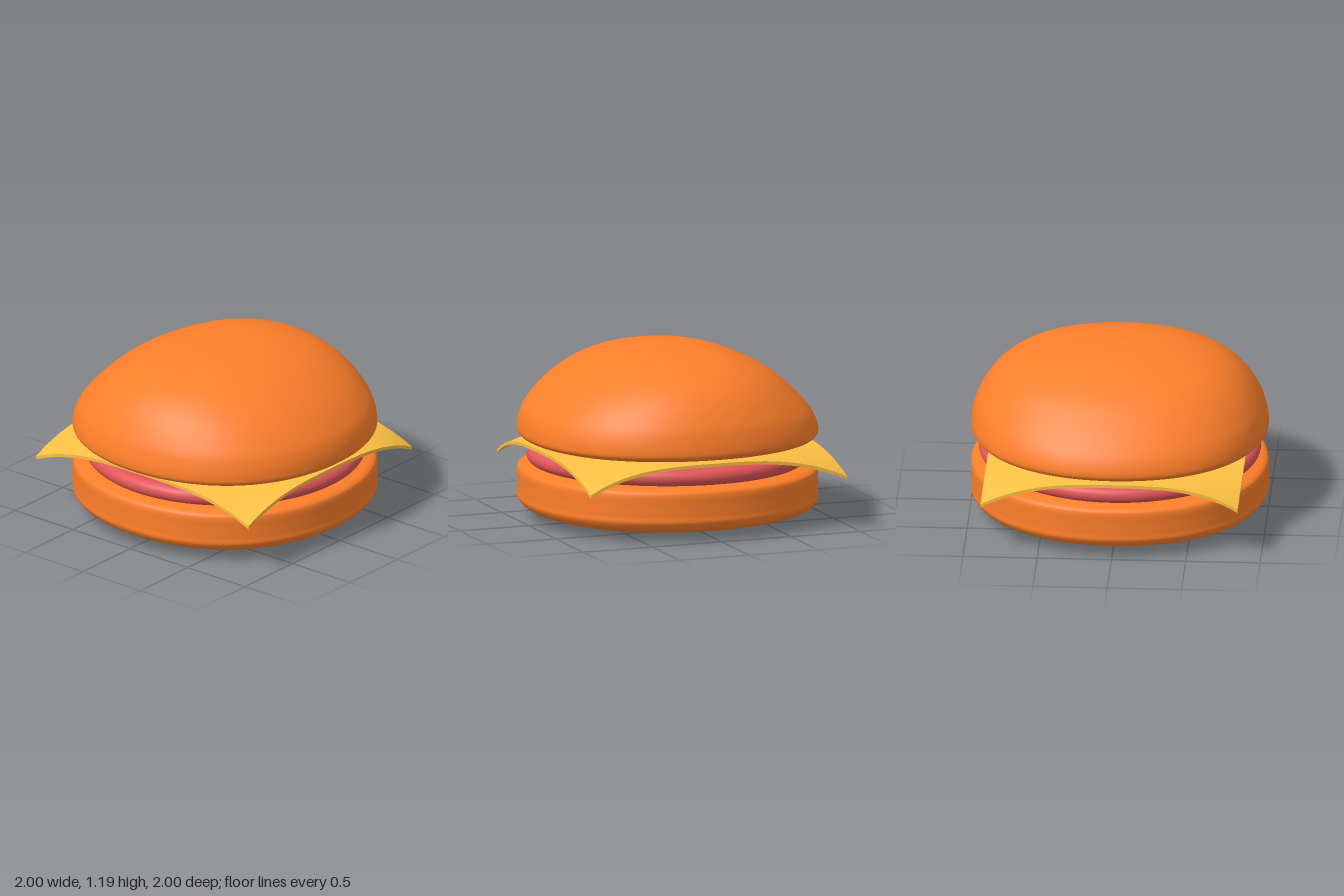
import * as THREE from 'three';

const SEGMENTS = 96;
const STEPS = 8;

// Closed round body; each row is [height, radius in z, radius to -x, radius to +x]
function roundBody(rows, squareness = 0) {
  const profiles = [1, 2, 3].map(k => new THREE.SplineCurve(rows.map(r => new THREE.Vector2(r[k], r[0]))));
  const levels = (rows.length - 1) * STEPS;
  const positions = [], index = [];
  for (let i = 0; i <= levels; i++) {
    const [side, left, right] = profiles.map(p => p.getPoint(i / levels));
    for (let j = 0; j < SEGMENTS; j++) {
      const a = j / SEGMENTS * Math.PI * 2;
      const bulge = 1 + squareness * Math.sin(2 * a) ** 2;
      const rx = Math.cos(a) < 0 ? left.x : right.x;
      positions.push(Math.cos(a) * rx * bulge, side.y, Math.sin(a) * side.x * bulge);
      if (i === levels) continue;
      const p = i * SEGMENTS + j, q = i * SEGMENTS + (j + 1) % SEGMENTS;
      index.push(p, p + SEGMENTS, q, q, p + SEGMENTS, q + SEGMENTS);
    }
  }
  const geometry = new THREE.BufferGeometry();
  geometry.setAttribute('position', new THREE.Float32BufferAttribute(positions, 3));
  geometry.setIndex(index);
  geometry.computeVertexNormals();
  return geometry;
}

const evenRows = rows => rows.map(([y, r]) => [y, r, r, r]);

// Thin square slice with drooping corners
function cheeseSlice() {
  const geometry = new THREE.BoxGeometry(2, 0.022, 2, 40, 1, 40);
  const pos = geometry.attributes.position;
  for (let i = 0; i < pos.count; i++) {
    const u = pos.getX(i), v = pos.getZ(i);
    const corner = Math.abs(u * v) ** 3;
    const droop = 0.012 * (u ** 4 + v ** 4) + 0.138 * corner;
    pos.setXYZ(i, 0.925 * u - 0.025 * corner, pos.getY(i) + 0.511 - droop, 0.865 * v - 0.02 * corner);
  }
  geometry.computeVertexNormals();
  return geometry;
}

export function createModel() {
  const model = new THREE.Group();
  const add = (name, geometry, color) => {
    const mesh = new THREE.Mesh(geometry, new THREE.MeshStandardMaterial({ color }));
    mesh.name = name;
    model.add(mesh);
  };
  const bun = 0xff7f2a;

  // Flat lower bun with a rounded rim
  add('bottomBun', roundBody(evenRows([
    [0, 0], [0.006, 0.3], [0.02, 0.62], [0.045, 0.83], [0.08, 0.95], [0.13, 0.998], [0.18, 1],
    [0.25, 1], [0.32, 1], [0.35, 0.985], [0.367, 0.94], [0.375, 0.86], [0.375, 0.5], [0.375, 0],
  ]), 0.024), bun);

  // Patty with a half-round edge
  const patty = [[0.372, 0], [0.372, 0.45], [0.372, 0.8]];
  for (let k = 0; k <= 8; k++) {
    const a = (k / 8 - 0.5) * Math.PI;
    patty.push([0.429 + 0.055 * Math.sin(a), 0.893 + 0.055 * Math.cos(a)]);
  }
  patty.push([0.486, 0.8], [0.486, 0.45], [0.486, 0]);
  add('patty', roundBody(evenRows(patty)), 0xe25558);

  add('cheese', cheeseSlice(), 0xfcc044);

  // Domed upper bun, sloping more gently towards -x
  add('topBun', roundBody([
    [0.52, 0, 0, 0], [0.522, 0.45, 0.45, 0.45], [0.533, 0.8, 0.8, 0.8], [0.55, 0.945, 0.945, 0.945],
    [0.575, 0.993, 0.993, 0.993], [0.62, 1, 1, 1], [0.7, 0.985, 0.97, 0.985], [0.78, 0.957, 0.91, 0.945],
    [0.9, 0.885, 0.79, 0.84], [1.0, 0.79, 0.665, 0.71], [1.08, 0.66, 0.515, 0.57],
    [1.14, 0.475, 0.36, 0.41], [1.175, 0.25, 0.2, 0.24], [1.187, 0, 0, 0],
  ], 0.024), bun);

  return model;
}
